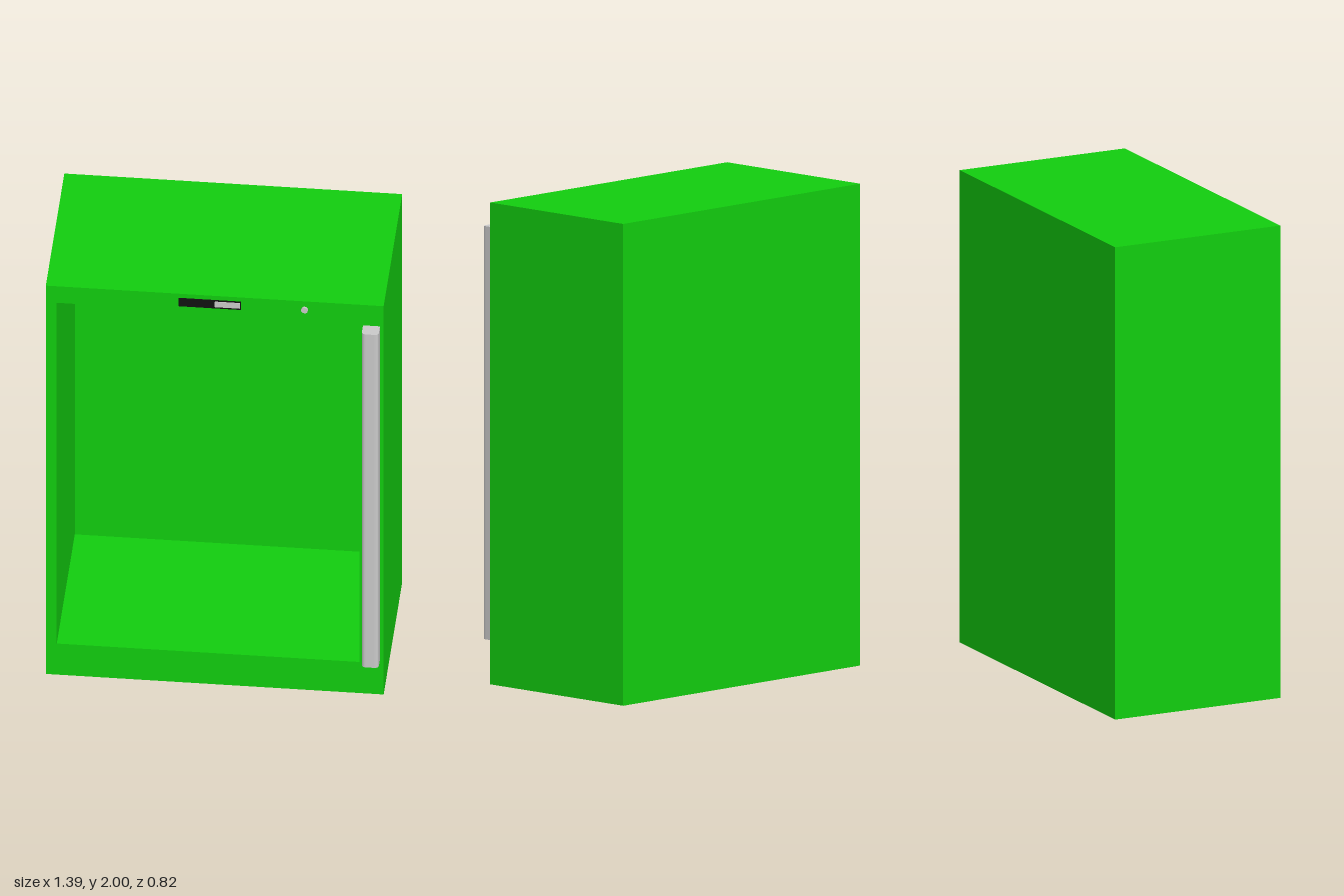
import * as THREE from 'three';

const material = (color) => new THREE.MeshStandardMaterial({ color });

// Rectangle outline from its left, right, bottom and top edges
function rectangle(path, l, r, b, t) {
  path.moveTo(l, b);
  path.lineTo(r, b);
  path.lineTo(r, t);
  path.lineTo(l, t);
  path.closePath();
  return path;
}

export function createModel() {
  const model = new THREE.Group();
  const green = material(0x12cf0f);
  const black = material(0x111111);
  const grey = material(0xcccccc);

  const add = (name, geometry, mat, x, y, z) => {
    const mesh = new THREE.Mesh(geometry, mat);
    mesh.name = name;
    mesh.position.set(x, y, z);
    model.add(mesh);
    return mesh;
  };

  const back = -0.41, front = 0.35;

  // Cabinet walls: an outer box with an off-centre opening
  const outline = rectangle(new THREE.Shape(), -0.695, 0.695, 0, 2);
  outline.holes.push(rectangle(new THREE.Path(), -0.65, 0.595, 0.16, 1.915));
  add('cabinet', new THREE.ExtrudeGeometry(outline, { depth: front - back, bevelEnabled: false }),
    green, 0, 0, back);

  // Thin back panel closing the opening
  add('backPanel', new THREE.BoxGeometry(1.245, 1.755, 0.02), green, -0.0275, 1.0375, back + 0.01);

  // Tall handle: plan profile with rounded front corners, extruded upwards
  const w = 0.035, d = 0.06, r = 0.018;
  const profile = new THREE.Shape();
  profile.moveTo(-w, 0);
  profile.lineTo(-w, -d + r);
  profile.quadraticCurveTo(-w, -d, -w + r, -d);
  profile.lineTo(w - r, -d);
  profile.quadraticCurveTo(w, -d, w, -d + r);
  profile.lineTo(w, 0);
  profile.closePath();
  const handle = add('handle',
    new THREE.ExtrudeGeometry(profile, { depth: 1.715, bevelEnabled: false, curveSegments: 6 }),
    grey, 0.645, 0.18, front);
  handle.rotation.x = -Math.PI / 2;

  // Control strip: black plate, grey display and a round button
  add('controlPlate', new THREE.BoxGeometry(0.256, 0.042, 0.004), black, -0.02, 1.958, front);
  add('display', new THREE.BoxGeometry(0.103, 0.027, 0.006), grey, 0.052, 1.959, front + 0.002);
  const button = add('button', new THREE.CylinderGeometry(0.014, 0.014, 0.01, 16),
    grey, 0.37, 1.959, front + 0.004);
  button.rotation.x = Math.PI / 2;

  return model;
}
